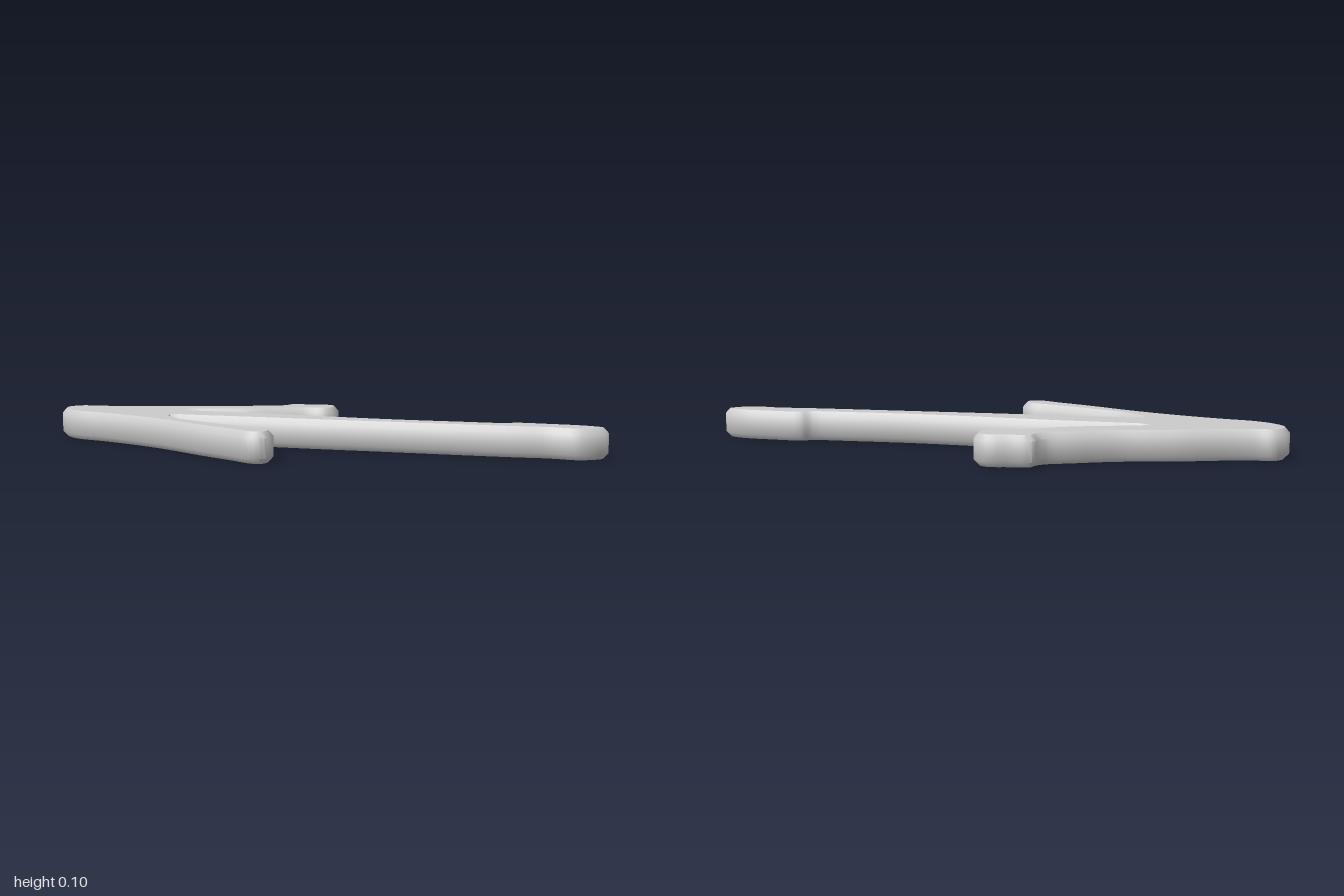
import * as THREE from 'three';
import { toCreasedNormals } from 'three/addons/utils/BufferGeometryUtils.js';

const HEIGHT = 0.105, BEVEL_H = 0.019, BEVEL_W = 0.017;

// Outline runs as [x, z], split into the stretches between the notches
const heelAndBackToe = [
  [-0.99, -0.06], [-0.95, -0.1], [-0.89, -0.105], [-0.8, -0.125], [-0.66, -0.17],
  [-0.56, -0.195], [-0.45, -0.222], [-0.32, -0.275], [-0.225, -0.318], [-0.2, -0.365],
  [-0.13, -0.377], [-0.055, -0.388], [-0.012, -0.362], [-0.005, -0.3], [-0.032, -0.265],
  [-0.1, -0.252], [-0.18, -0.216], [-0.29, -0.158], [-0.4, -0.12], [-0.52, -0.083],
];
const middleToe = [
  [-0.4, -0.078], [-0.24, -0.077], [-0.02, -0.067], [0.27, -0.057], [0.51, -0.067],
  [0.65, -0.077], [0.69, -0.098], [0.8, -0.1], [0.91, -0.095], [0.98, -0.073],
  [0.997, -0.05], [0.96, -0.008], [0.9, 0.018], [0.81, 0.01], [0.7, 0.02], [0.51, 0.03],
  [0.25, 0.04], [0.03, 0.05], [-0.24, 0.057], [-0.4, 0.066], [-0.5, 0.073],
];
const frontToe = [
  [-0.44, 0.136], [-0.34, 0.184], [-0.235, 0.227], [-0.13, 0.265], [-0.06, 0.288],
  [-0.037, 0.325], [-0.05, 0.372], [-0.1, 0.386], [-0.18, 0.35], [-0.315, 0.291],
  [-0.475, 0.212], [-0.61, 0.158], [-0.77, 0.11], [-0.89, 0.083], [-0.955, 0.045],
  [-0.995, -0.013],
];

export function createModel() {
  const group = new THREE.Group();
  const points = [...heelAndBackToe, ...middleToe, ...frontToe];
  const curve = new THREE.CatmullRomCurve3(
    points.map(([x, z]) => new THREE.Vector3(x, z, 0)), true, 'centripetal');
  const outline = curve.getPoints(points.length * 4).slice(0, -1);
  const shape = new THREE.Shape(outline.map(p => new THREE.Vector2(p.x, p.y)));

  // Flat slab with a single chamfer, set inward from the outline
  const depth = HEIGHT - 2 * BEVEL_H;
  const slab = new THREE.ExtrudeGeometry(shape, {
    depth, bevelEnabled: true, bevelSegments: 1,
    bevelThickness: BEVEL_H, bevelSize: BEVEL_W, bevelOffset: -BEVEL_W,
  });
  slab.rotateX(Math.PI / 2);
  slab.translate(0, depth + BEVEL_H, 0);

  // Walls and chamfer blend together, flat faces stay crisp
  const footprint = new THREE.Mesh(
    toCreasedNormals(slab, Math.PI / 4),
    new THREE.MeshStandardMaterial({ color: 0xcccccc }));
  footprint.name = 'threeToedFootprint';
  group.add(footprint);
  return group;
}
